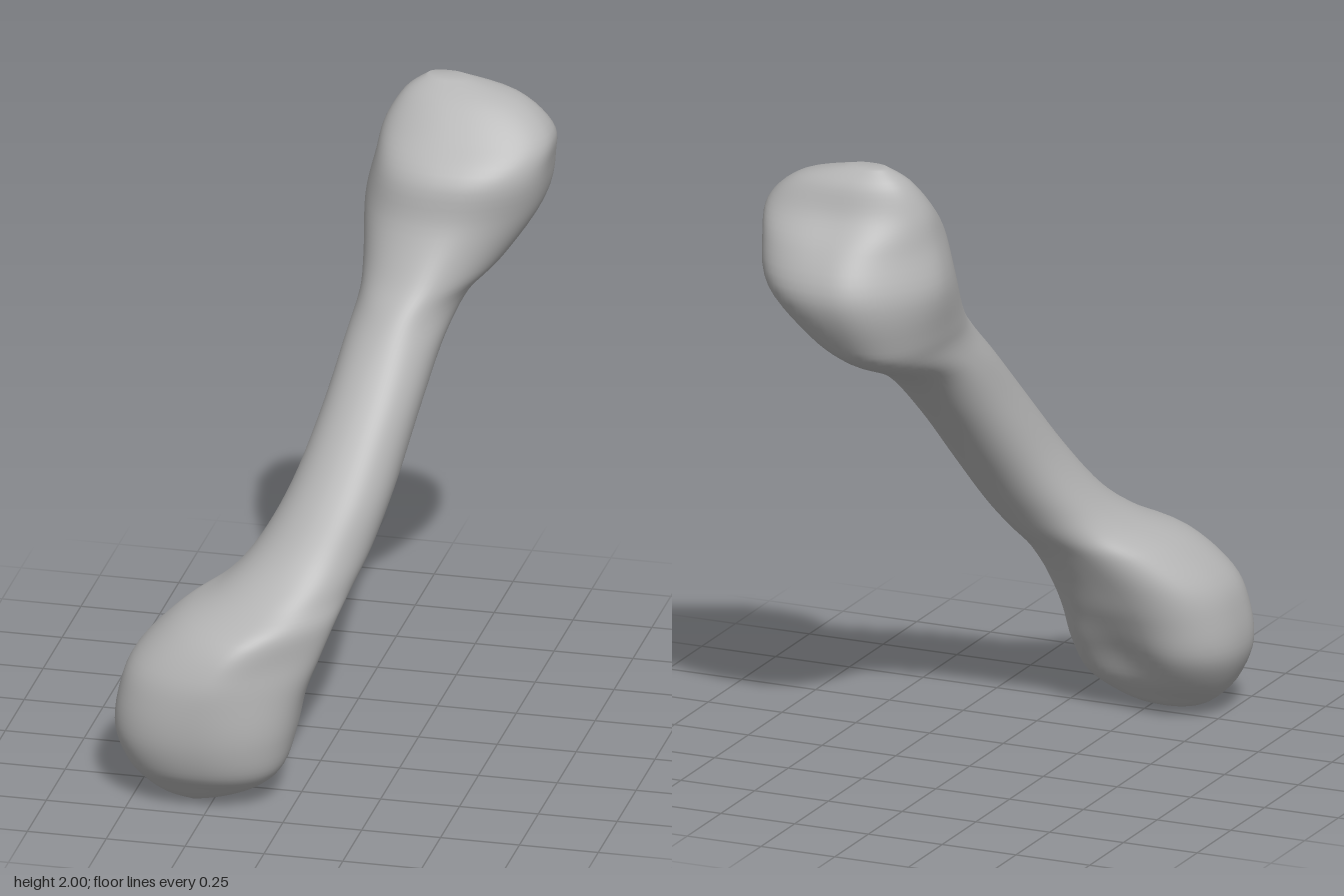
import * as THREE from 'three';

// Level sections from foot to head: y, x min, x max, z min, z max
const SECTIONS = [
  [0, -0.33, -0.29, 0.57, 0.63],
  [0.02, -0.42, -0.19, 0.5, 0.66],
  [0.06, -0.48, -0.1, 0.45, 0.7],
  [0.12, -0.53, -0.04, 0.38, 0.75],
  [0.22, -0.57, -0.01, 0.315, 0.78],
  [0.34, -0.56, 0.015, 0.285, 0.785],
  [0.45, -0.52, 0.055, 0.25, 0.77],
  [0.56, -0.41, 0.095, 0.195, 0.715],
  [0.64, -0.28, 0.125, 0.14, 0.59],
  [0.74, -0.19, 0.165, 0.075, 0.47],
  [0.9, -0.108, 0.21, -0.04, 0.35],
  [1.1, -0.048, 0.25, -0.21, 0.195],
  [1.27, -0.015, 0.287, -0.4, 0.05],
  [1.38, 0, 0.335, -0.64, -0.04],
  [1.47, -0.01, 0.425, -0.725, -0.115],
  [1.62, -0.027, 0.525, -0.785, -0.195],
  [1.76, 0.005, 0.557, -0.735, -0.225],
  [1.86, 0.03, 0.555, -0.655, -0.325],
  [1.95, 0.085, 0.45, -0.61, -0.42],
  [2, 0.155, 0.27, -0.56, -0.5],
];

// Hollows pressed into the surface: centre, radius, push
const DENTS = [
  { at: new THREE.Vector3(-0.22, 0.2, 0.34), r: 0.14, push: new THREE.Vector3(0, 0.025, 0.045) },
  { at: new THREE.Vector3(0.28, 1.8, -0.7), r: 0.11, push: new THREE.Vector3(0, 0, 0.015) },
];

const STEPS = 5;
const SIDES = 72;

// Catmull-Rom blend of one column, held at both ends
function sample(column, i, f) {
  const at = (k) => SECTIONS[Math.min(Math.max(k, 0), SECTIONS.length - 1)][column];
  const [a, b, c, d] = [at(i - 1), at(i), at(i + 1), at(i + 2)];
  return b + 0.5 * f * (c - a + f * (2 * a - 5 * b + 4 * c - d + f * (3 * (b - c) + d - a)));
}

const bump = (d) => Math.exp(-d * d);

// Fullness of a section toward each corner: 2 is oval, more is boxy, less is cut off
function fullness(y, c, s) {
  const foot = bump((y - 0.28) / 0.2);
  const head = bump((y - 1.68) / 0.2);
  const frontLeft = 2.2 - 1.0 * bump((y - 0.5) / 0.2) - 0.6 * bump((y - 1.5) / 0.2);
  const backLeft = 2.3 + 0.4 * foot + 0.7 * head;
  const frontRight = 2.3 + 0.1 * head;
  const backRight = 2.2 + 0.4 * foot - 0.9 * head;
  const left = (1 + c) / 2;
  const front = (1 + s) / 2;
  return (
    left * (front * frontLeft + (1 - front) * backLeft) +
    (1 - left) * (front * frontRight + (1 - front) * backRight)
  );
}

const rounded = (v, n) => Math.sign(v) * Math.pow(Math.abs(v), 2 / n);

function boneGeometry() {
  const positions = [];
  const indices = [];
  const rows = (SECTIONS.length - 1) * STEPS + 1;
  const p = new THREE.Vector3();

  for (let r = 0; r < rows; r++) {
    const i = Math.min(Math.floor(r / STEPS), SECTIONS.length - 2);
    const [y, x0, x1, z0, z1] = SECTIONS[i].map((_, c) => sample(c, i, r / STEPS - i));
    for (let j = 0; j < SIDES; j++) {
      const t = (j / SIDES) * Math.PI * 2;
      const c = Math.cos(t);
      const s = Math.sin(t);
      const n = fullness(y, c, s);
      p.set(
        (x0 + x1) / 2 + ((x1 - x0) / 2) * rounded(c, n),
        y,
        (z0 + z1) / 2 + ((z1 - z0) / 2) * rounded(s, n)
      );
      for (const dent of DENTS) {
        p.addScaledVector(dent.push, bump(p.distanceTo(dent.at) / dent.r));
      }
      positions.push(p.x, p.y, p.z);
    }
  }

  // Skin between neighbouring sections
  for (let r = 0; r < rows - 1; r++) {
    for (let j = 0; j < SIDES; j++) {
      const a = r * SIDES + j;
      const b = r * SIDES + ((j + 1) % SIDES);
      indices.push(a, a + SIDES, b, b, a + SIDES, b + SIDES);
    }
  }

  // Closed ends
  const bottom = rows * SIDES;
  const last = (rows - 1) * SIDES;
  positions.push(-0.31, 0, 0.6, 0.21, 2, -0.53);
  for (let j = 0; j < SIDES; j++) {
    const k = (j + 1) % SIDES;
    indices.push(bottom, j, k, bottom + 1, last + k, last + j);
  }

  const geometry = new THREE.BufferGeometry();
  geometry.setAttribute('position', new THREE.Float32BufferAttribute(positions, 3));
  geometry.setIndex(indices);
  geometry.computeVertexNormals();
  return geometry;
}

export function createModel() {
  const group = new THREE.Group();
  group.name = 'fingerBone';
  const boneGrey = new THREE.MeshStandardMaterial({ color: 0xb4b4b4 });
  boneGrey.name = 'boneGrey';
  const bone = new THREE.Mesh(boneGeometry(), boneGrey);
  bone.name = 'bone';
  group.add(bone);
  return group;
}
